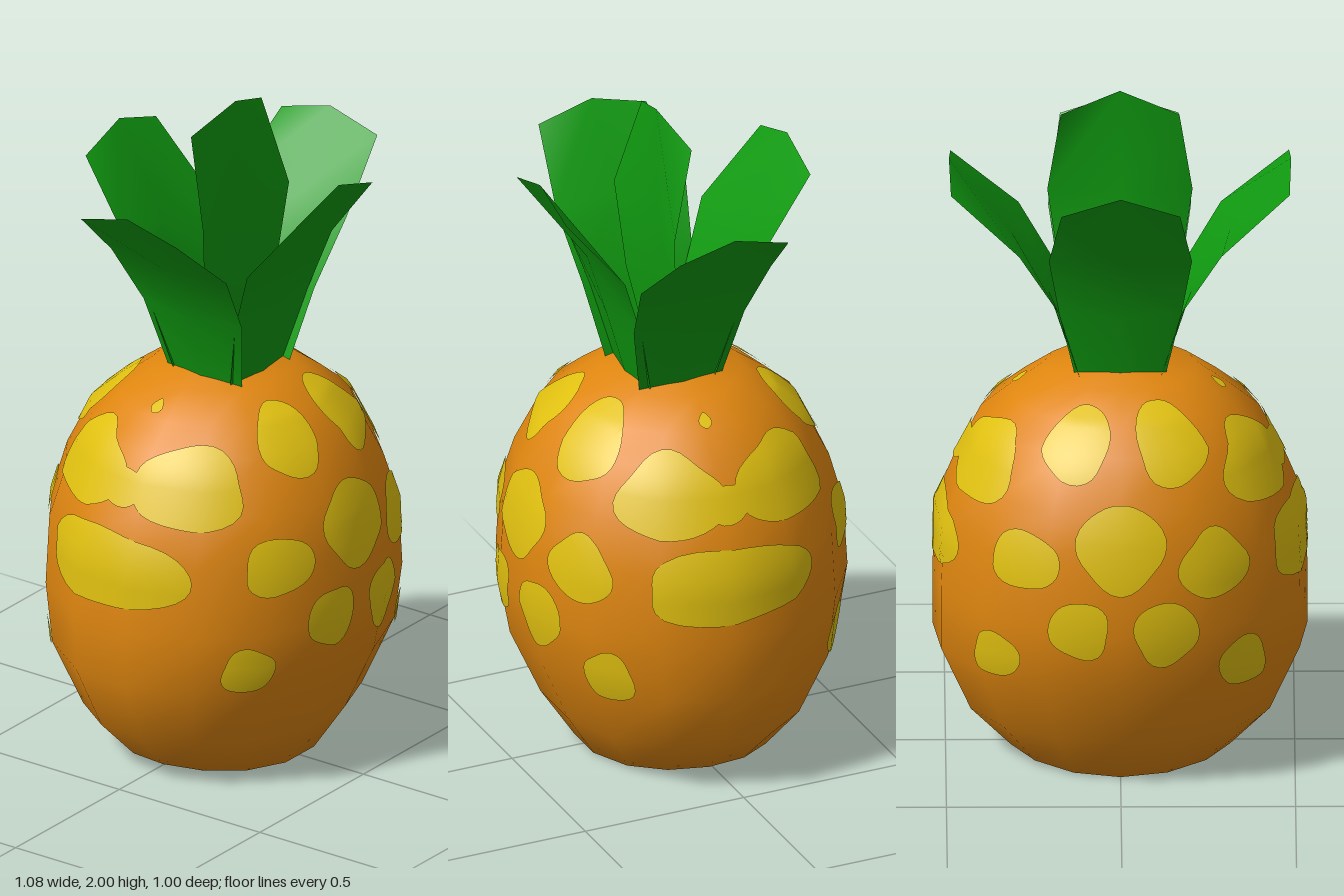
import * as THREE from 'three';

const orange = new THREE.MeshStandardMaterial({ color: 0xdf860f });
orange.name = 'orange skin';
const yellow = new THREE.MeshStandardMaterial({ color: 0xe0c010 });
yellow.name = 'yellow spots';
const green = new THREE.MeshStandardMaterial({ color: 0x109a10, side: THREE.DoubleSide });
green.name = 'leaf green';

// Fruit rings: height, half width in x, half depth in z
const SIDES = 15;
const RINGS = [
  [0.005, 0.33, 0.28], [0.15, 0.45, 0.375], [0.35, 0.54, 0.465], [0.53, 0.54, 0.5],
  [0.74, 0.532, 0.487], [0.88, 0.475, 0.45], [1.03, 0.4, 0.375], [1.1, 0.315, 0.295],
  [1.17, 0.22, 0.2], [1.2, 0.02, 0.02],
];

// Corner of the fruit mesh; the lowest ring rises towards the sides
function corner(side, ring) {
  const a = (side / SIDES) * Math.PI * 2;
  const [y, rx, rz] = RINGS[ring];
  const lift = ring === 0 ? 0.025 * Math.sin(a) ** 2 : 0;
  return new THREE.Vector3(rx * Math.sin(a), y + lift, -rz * Math.cos(a));
}

// Point on the faceted skin; angle in degrees from the front (+z) towards +x
function skinPoint(angle, y) {
  const u = ((((180 - angle) % 360) + 360) % 360) / 360 * SIDES;
  const s = Math.floor(u);
  let r = 0;
  while (r < RINGS.length - 2 && RINGS[r + 1][0] < y) r++;
  const t = (y - RINGS[r][0]) / (RINGS[r + 1][0] - RINGS[r][0]);
  const low = corner(s, r).lerp(corner(s + 1, r), u - s);
  const high = corner(s, r + 1).lerp(corner(s + 1, r + 1), u - s);
  return low.lerp(high, t);
}

// Rounded skin direction, taken over a wide neighbourhood
function skinNormal(angle, y) {
  const across = skinPoint(angle + 12, y).sub(skinPoint(angle - 12, y));
  const up = skinPoint(angle, Math.min(y + 0.08, 1.19)).sub(skinPoint(angle, y - 0.08));
  return across.cross(up).normalize();
}

function makeGeometry(points, index, normals) {
  const g = new THREE.BufferGeometry();
  g.setAttribute('position', new THREE.Float32BufferAttribute(points.flatMap((p) => p.toArray()), 3));
  g.setIndex(index);
  if (normals) {
    g.setAttribute('normal', new THREE.Float32BufferAttribute(normals.flatMap((n) => n.toArray()), 3));
  } else {
    g.computeVertexNormals();
  }
  return g;
}

function fruitGeometry() {
  const points = [];
  const index = [];
  RINGS.forEach((_, r) => {
    for (let s = 0; s < SIDES; s++) points.push(corner(s, r));
  });
  const bottom = points.length;
  const top = bottom + 1;
  points.push(new THREE.Vector3(0, 0.03, 0), new THREE.Vector3(0, 1.2, 0));
  const last = (RINGS.length - 1) * SIDES;
  for (let s = 0; s < SIDES; s++) {
    const n = (s + 1) % SIDES;
    for (let r = 0; r < last; r += SIDES) {
      const a = r + s, b = r + n, c = a + SIDES, d = b + SIDES;
      index.push(a, c, b, b, c, d);
    }
    index.push(bottom, s, n, top, last + n, last + s);
  }
  return makeGeometry(points, index);
}

// Thin rounded patch that follows the skin
function spotGeometry(angle, y, halfAngle, halfHeight, seed) {
  const loops = 10, steps = 32;
  const points = [], normals = [], index = [];
  const add = (a, h) => {
    const n = skinNormal(a, h);
    points.push(skinPoint(a, h).addScaledVector(n, 0.006));
    normals.push(n);
  };
  add(angle, y);
  for (let i = 1; i <= loops; i++) {
    for (let j = 0; j < steps; j++) {
      const t = (j / steps) * Math.PI * 2;
      const k = (i / loops) * (1 + 0.06 * Math.sin(3 * t + seed) + 0.04 * Math.cos(4 * t + seed * 2));
      add(angle + halfAngle * k * Math.cos(t), y + halfHeight * k * Math.sin(t));
      const a = 1 + (i - 1) * steps + j;
      const b = 1 + (i - 1) * steps + ((j + 1) % steps);
      if (i === 1) index.push(0, a, b);
      else index.push(a - steps, a, b, a - steps, b, b - steps);
    }
  }
  return makeGeometry(points, index, normals);
}

// Leaf facing +z; rows: outward, height, half width, edge shift in z, edge drop
function leafGeometry(rows) {
  const points = [];
  const index = [];
  rows.forEach(([out, y, half, shift, drop], r) => {
    for (const s of [-1, 0, 1]) {
      const e = Math.abs(s);
      points.push(new THREE.Vector3(s * half, y - e * drop, out + e * shift));
    }
    if (r === 0) return;
    for (let c = 0; c < 2; c++) {
      const a = (r - 1) * 3 + c;
      index.push(a, a + 1, a + 3, a + 1, a + 4, a + 3);
    }
  });
  return makeGeometry(points, index);
}

export function createModel() {
  const model = new THREE.Group();
  model.name = 'pineapple';
  const add = (name, geometry, material, parent = model) => {
    const mesh = new THREE.Mesh(geometry, material);
    mesh.name = name;
    parent.add(mesh);
    return mesh;
  };

  add('fruit', fruitGeometry(), orange);

  // Spots: angle, height, half angle, half height; repeated on the opposite side
  const spots = new THREE.Group();
  spots.name = 'spots';
  model.add(spots);
  [
    [0, 0.79, 14.5, 0.125], [-32, 0.73, 12.5, 0.085], [31, 0.72, 12.5, 0.1],
    [-13, 0.54, 9.5, 0.09], [14, 0.53, 10, 0.1], [-42, 0.42, 9, 0.07], [41, 0.4, 9, 0.08],
    [-20, 1.05, 15, 0.09], [23, 1.05, 16, 0.1], [64, 0.95, 22, 0.11], [-66, 0.95, 23, 0.11],
    [86, 0.93, 12, 0.05], [86, 0.7, 32, 0.115], [85, 1.12, 4, 0.015],
  ].forEach(([a, y, ha, hy], i) => {
    add('spot', spotGeometry(a, y, ha, hy, i * 1.7), yellow, spots);
    add('oppositeSpot', spotGeometry(a + 180, y, ha, hy, i * 1.7), yellow, spots);
  });

  // Crown of four spreading leaves around an upright one
  const crown = new THREE.Group();
  crown.name = 'crown';
  model.add(crown);
  const endLeaf = leafGeometry([
    [0.12, 1.17, 0.13, -0.02, 0], [0.18, 1.38, 0.175, -0.03, 0],
    [0.24, 1.57, 0.205, -0.025, 0], [0.39, 1.835, 0.17, -0.005, 0.055],
  ]);
  const sideLeaf = leafGeometry([
    [0.135, 1.17, 0.13, -0.02, 0], [0.205, 1.39, 0.175, -0.03, 0],
    [0.315, 1.58, 0.205, -0.025, 0], [0.49, 1.8, 0.17, -0.005, 0.045],
  ]);
  const place = (name, geometry, turn) => {
    const leaf = add(name, geometry, green, crown);
    leaf.rotation.y = turn;
    leaf.position.z = 0.022;
  };
  place('frontLeaf', endLeaf, 0);
  place('backLeaf', endLeaf, Math.PI);
  place('leftLeaf', sideLeaf, Math.PI / 2);
  place('rightLeaf', sideLeaf, -Math.PI / 2);
  place('centreLeaf', leafGeometry([
    [-0.04, 1.17, 0.13, 0.03, 0], [0, 1.42, 0.17, 0.04, 0],
    [0.02, 1.68, 0.208, 0.04, 0], [0.023, 2, 0.17, -0.033, 0.06],
  ]), 0);

  return model;
}
